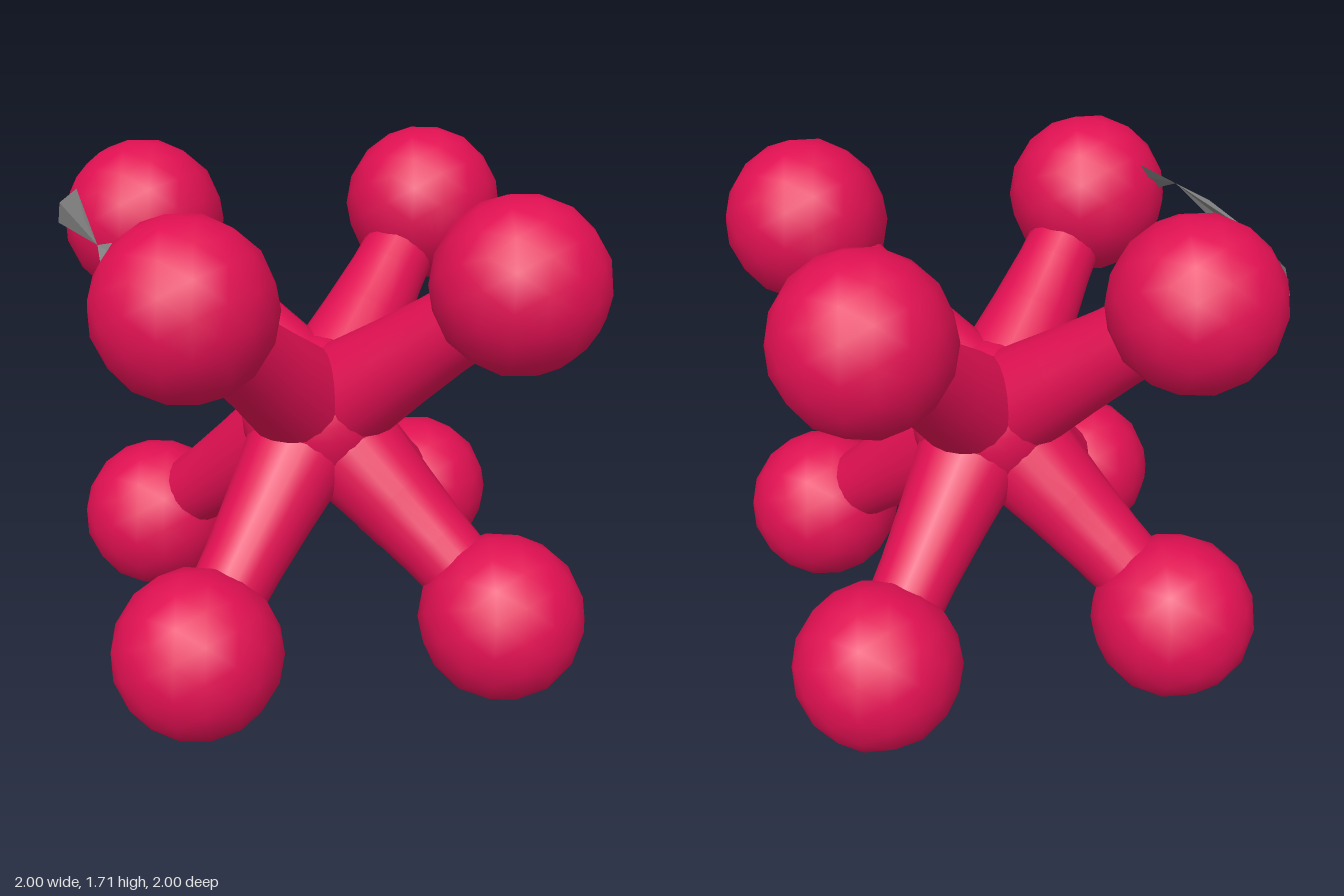
import * as THREE from 'three';

const CENTRE = new THREE.Vector3(0, 0.87, 0);
const REACH = 0.725, RISE = 0.58, BALL = 0.28;

// Thin spike: a fan of triangles joining a tip to a line of points
function fan(tip, rim) {
  const pos = [];
  for (let i = 0; i < rim.length - 1; i++) pos.push(...tip, ...rim[i], ...rim[i + 1]);
  const geo = new THREE.BufferGeometry();
  geo.setAttribute('position', new THREE.Float32BufferAttribute(pos, 3));
  geo.computeVertexNormals();
  return geo;
}

export function createModel() {
  const model = new THREE.Group();
  const crimson = new THREE.MeshStandardMaterial({ color: 0xe01052 });
  crimson.name = 'crimson';
  const grey = new THREE.MeshStandardMaterial({ color: 0x808080, side: THREE.DoubleSide });
  grey.name = 'grey';

  const add = (geo, mat, name, parent = model) => {
    const mesh = new THREE.Mesh(geo, mat);
    mesh.name = name;
    parent.add(mesh);
    return mesh;
  };

  // Rounded core where the arms meet
  add(new THREE.SphereGeometry(0.265, 24, 16), crimson, 'hub').position.copy(CENTRE);

  // Tapered arm profile, from the core outwards
  const armGeo = new THREE.LatheGeometry(
    [[0.2, 0], [0.18, 0.2], [0.155, 0.4], [0.135, 0.6], [0.125, 0.8]]
      .map(([r, t]) => new THREE.Vector2(r, t)), 20);
  const ballGeo = new THREE.IcosahedronGeometry(BALL, 2);
  const up = new THREE.Vector3(0, 1, 0);

  // Eight arms with balls: four leaning up and four leaning down
  for (const level of ['upper', 'lower']) {
    for (const [side, x, z] of [['Left', 1, 0], ['Right', -1, 0], ['Front', 0, 1], ['Back', 0, -1]]) {
      const offset = new THREE.Vector3(x * REACH, level === 'upper' ? RISE : -RISE, z * REACH);
      const limb = new THREE.Group();
      limb.name = level + side + 'Limb';
      limb.position.copy(CENTRE);
      model.add(limb);
      add(armGeo, crimson, 'arm', limb).quaternion.setFromUnitVectors(up, offset.clone().normalize());
      add(ballGeo, crimson, 'ball', limb).position.copy(offset);
    }
  }

  // Grey sliver pinched to a point between the right and front upper balls
  const tip = [-0.37, 1.57, 0.66];
  add(fan(tip, [[-0.95, 1.45, 0.2], [-0.92, 1.53, 0.22], [-0.81, 1.6, 0.25], [-0.55, 1.59, 0.51]]),
    grey, 'longSliver');
  add(fan(tip, [[-0.23, 1.61, 0.67], [-0.25, 1.56, 0.7], [-0.24, 1.49, 0.79]]),
    grey, 'shortSliver');

  return model;
}
